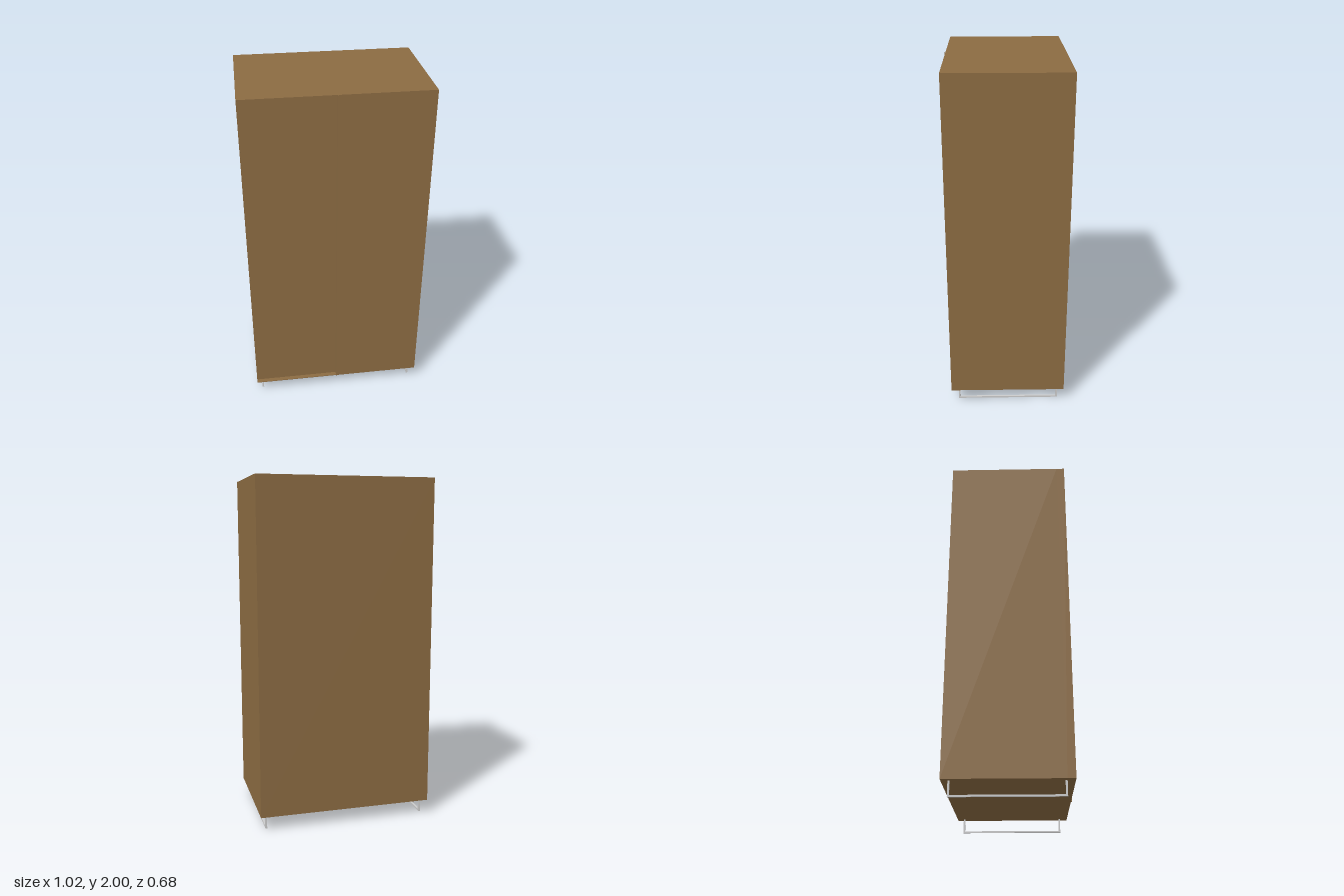
import * as THREE from 'three';

export function createModel() {
  const model = new THREE.Group();
  const wood = new THREE.MeshStandardMaterial({ color: 0x8b6b42 });
  const metal = new THREE.MeshStandardMaterial({ color: 0xcccccc });

  // Box given by its minimum and maximum corners
  function box(name, material, [x0, y0, z0], [x1, y1, z1], parent = model) {
    const mesh = new THREE.Mesh(new THREE.BoxGeometry(x1 - x0, y1 - y0, z1 - z0), material);
    mesh.position.set((x0 + x1) / 2, (y0 + y1) / 2, (z0 + z1) / 2);
    mesh.name = name;
    parent.add(mesh);
  }

  const W = 0.512, bottom = 0.082, top = 2, back = -0.341, front = 0.335;
  const doorBack = 0.29, inset = 0.31, lip = 0.004;

  // Carcass with a thin rim around the door opening
  box('carcass', wood, [-W, bottom, back], [W, top, doorBack]);
  box('rightSideRim', wood, [-W, bottom, doorBack], [-W + lip, top, front]);
  box('leftSideRim', wood, [W - lip, bottom, doorBack], [W, top, front]);
  box('topRim', wood, [-W + lip, top - lip, doorBack], [W - lip, top, front]);
  box('bottomRim', wood, [-W + lip, bottom, doorBack], [W - lip, bottom + lip, front]);

  // Sliding doors: the right one sits behind the left one
  box('rightDoor', wood, [-W + lip, bottom + lip, doorBack], [0, top - lip, inset]);
  box('leftDoor', wood, [0, bottom + lip, doorBack], [W - lip, top - lip, front]);

  // Full-height edge strip where the doors meet
  box('doorEdgeStrip', wood, [-0.005, bottom, inset], [0, top, 0.341]);

  // Sled legs: two posts joined by a floor runner
  const t = 0.01, legFront = 0.293, legBack = -0.305;
  for (const side of [-1, 1]) {
    const leg = new THREE.Group();
    leg.name = side < 0 ? 'rightSledLeg' : 'leftSledLeg';
    const x0 = side * 0.476 - t / 2, x1 = x0 + t;
    box('runner', metal, [x0, 0, legBack], [x1, t, legFront], leg);
    box('frontPost', metal, [x0, t, legFront - t], [x1, bottom, legFront], leg);
    box('backPost', metal, [x0, t, legBack], [x1, bottom, legBack + t], leg);
    model.add(leg);
  }
  return model;
}
